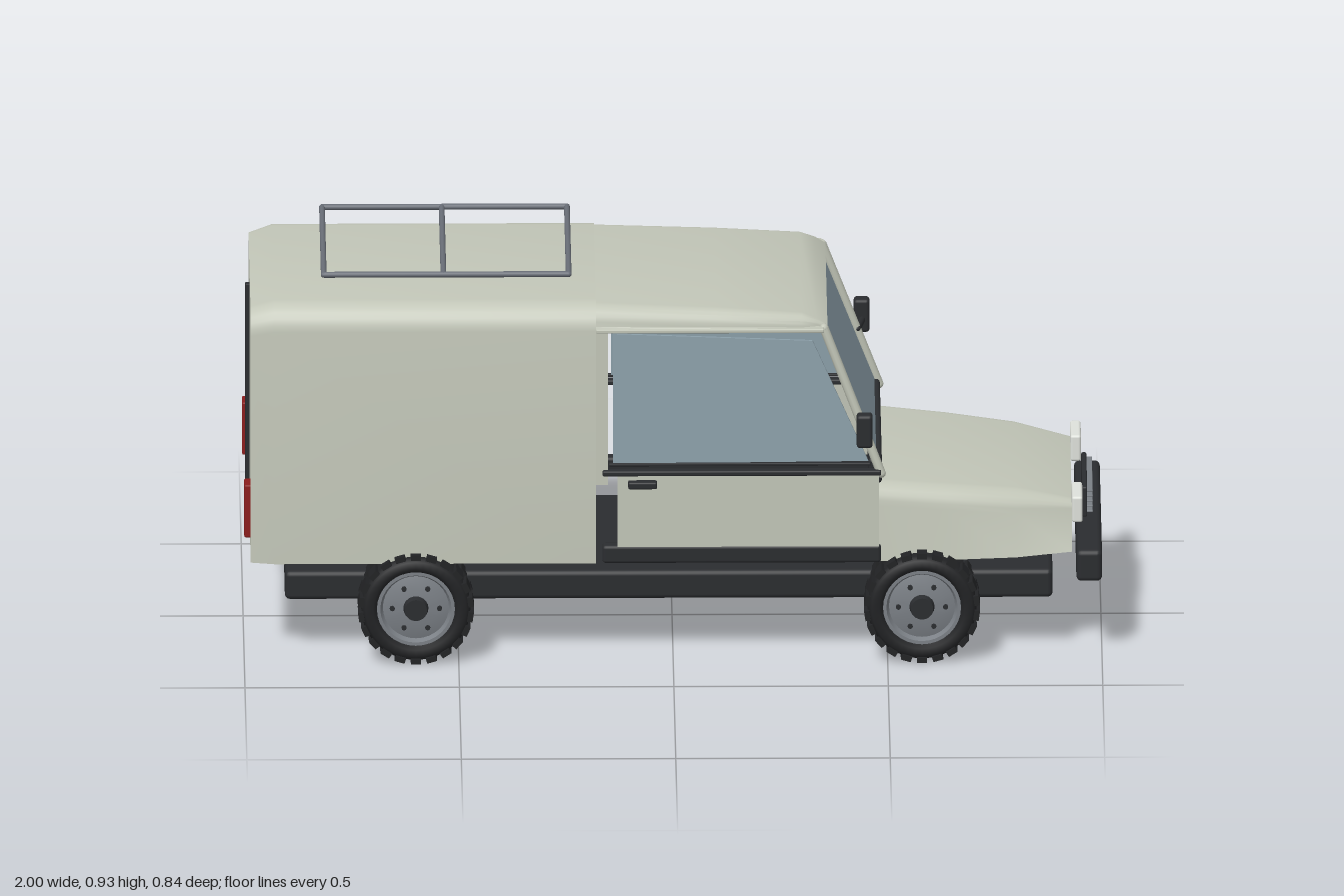
import * as THREE from 'three';
import { toCreasedNormals } from 'three/addons/utils/BufferGeometryUtils.js';
import { RoundedBoxGeometry } from 'three/addons/geometries/RoundedBoxGeometry.js';

const mat = (color, side = THREE.FrontSide) => new THREE.MeshStandardMaterial({ color, side });
const paint = mat(0xc2c6b8), black = mat(0x2b2d30), rubber = mat(0x222325), rimGrey = mat(0x7b8086);
const rackGrey = mat(0x6a6f78), lamp = mat(0xdfe2dc), red = mat(0x8c1d1d), glass = mat(0x8da1ab, THREE.DoubleSide);

function add(parent, name, geo, material, x = 0, y = 0, z = 0) {
  const m = new THREE.Mesh(geo, material);
  m.name = name;
  m.position.set(x, y, z);
  parent.add(m);
  return m;
}

// Rounded box given by its limits on each axis
function block(parent, name, [x0, x1], [y0, y1], [z0, z1], material, r = 0.004) {
  const geo = new RoundedBoxGeometry(x1 - x0, y1 - y0, z1 - z0, 2, r);
  return add(parent, name, geo, material, (x0 + x1) / 2, (y0 + y1) / 2, (z0 + z1) / 2);
}

// Round bar between two points
function bar(parent, name, a, b, r, material) {
  const curve = new THREE.LineCurve3(new THREE.Vector3(...a), new THREE.Vector3(...b));
  const g = add(parent, name, new THREE.TubeGeometry(curve, 1, r, 10), material);
  for (const p of [a, b]) add(parent, name + 'End', new THREE.SphereGeometry(r, 10, 6), material, ...p);
  return g;
}

// Body shell along x; section = [x, bottom y, top y, bottom half width, top half width, corner radius]
function loft(sections, steps = 6) {
  const rings = sections.map(([x, y0, y1, wb, wt, r]) => {
    const half = [[wb, y0]];
    for (let i = 0; i <= steps; i++) {
      const a = (i / steps) * Math.PI / 2;
      half.push([wt - r + r * Math.cos(a), y1 - r + r * Math.sin(a)]);
    }
    const mirrored = half.slice().reverse().map(([z, y]) => [-z, y]);
    return [...half, ...mirrored].map(([z, y]) => [x, y, z]);
  });
  const out = [], n = rings[0].length;
  const tri = (a, b, c) => out.push(...a, ...b, ...c);
  for (let i = 0; i < rings.length - 1; i++) {
    for (let j = 0; j < n; j++) {
      const k = (j + 1) % n, p = rings[i], q = rings[i + 1];
      tri(p[j], q[j], p[k]);
      tri(q[j], q[k], p[k]);
    }
  }
  const back = rings[0], front = rings[rings.length - 1];
  for (let j = 1; j < n - 1; j++) {
    tri(back[0], back[j], back[j + 1]);
    tri(front[0], front[j + 1], front[j]);
  }
  const geo = new THREE.BufferGeometry();
  geo.setAttribute('position', new THREE.Float32BufferAttribute(out, 3));
  return toCreasedNormals(geo, 0.45);
}

// Thin panel drawn in side view, leaning inward above the height y = lean
function sidePanel(points, depth, z, lean = 0, base = 0.3) {
  const shape = new THREE.Shape(points.map(p => new THREE.Vector2(...p)));
  const geo = new THREE.ExtrudeGeometry(shape, { depth, bevelEnabled: false });
  const pos = geo.attributes.position;
  for (let i = 0; i < pos.count; i++) {
    pos.setZ(i, pos.getZ(i) + z - lean * (pos.getY(i) - base));
  }
  geo.computeVertexNormals();
  return geo;
}

function makeWheel() {
  const wheel = new THREE.Group();
  wheel.name = 'wheel';
  const profile = [[0.09, -0.045], [0.1, -0.053], [0.117, -0.052], [0.127, -0.042], [0.129, 0],
    [0.127, 0.042], [0.117, 0.052], [0.1, 0.053], [0.09, 0.045], [0.086, 0.03]];
  const tyre = new THREE.LatheGeometry(profile.map(p => new THREE.Vector2(...p)), 40);
  add(wheel, 'tyre', tyre.rotateX(Math.PI / 2), rubber);
  // Staggered tread blocks
  const count = 22;
  for (let i = 0; i < count * 2; i++) {
    const a = (i / (count * 2)) * Math.PI * 2, side = i % 2 ? 1 : -1;
    const lug = add(wheel, 'treadBlock', new THREE.BoxGeometry(0.013, 0.024, 0.05), rubber,
      Math.cos(a) * 0.1285, Math.sin(a) * 0.1285, side * 0.028);
    lug.rotation.z = a;
  }
  // Dished rim, hub and bolts
  const dish = [[0.089, -0.04], [0.091, 0.046], [0.083, 0.046], [0.077, 0.033], [0.05, 0.04], [0, 0.04]];
  const rim = new THREE.LatheGeometry(dish.map(p => new THREE.Vector2(...p)), 32).rotateX(Math.PI / 2);
  add(wheel, 'rim', toCreasedNormals(rim, 0.4), rimGrey);
  add(wheel, 'innerDisc', new THREE.CylinderGeometry(0.092, 0.092, 0.01, 32).rotateX(Math.PI / 2), black, 0, 0, -0.04);
  add(wheel, 'hub', new THREE.CylinderGeometry(0.026, 0.03, 0.02, 20).rotateX(Math.PI / 2), black, 0, 0, 0.047);
  for (let i = 0; i < 6; i++) {
    const a = (i / 6) * Math.PI * 2;
    add(wheel, 'bolt', new THREE.CylinderGeometry(0.006, 0.006, 0.008, 8).rotateX(Math.PI / 2), black,
      Math.cos(a) * 0.055, Math.sin(a) * 0.055, 0.041);
  }
  return wheel;
}

export function createModel() {
  const model = new THREE.Group();
  model.name = 'utilityVan';

  // Main shells
  add(model, 'cargoBox', loft([
    [-0.985, 0.25, 0.862, 0.316, 0.306, 0.055], [-0.93, 0.25, 0.88, 0.328, 0.318, 0.06],
    [-0.18, 0.25, 0.88, 0.328, 0.318, 0.06]]), paint);
  add(model, 'cabRoof', loft([
    [-0.18, 0.82, 0.874, 0.315, 0.312, 0.045], [0.1, 0.82, 0.864, 0.315, 0.31, 0.038],
    [0.3, 0.82, 0.852, 0.312, 0.305, 0.028], [0.335, 0.82, 0.84, 0.306, 0.296, 0.016],
    [0.36, 0.818, 0.824, 0.298, 0.288, 0.004]]), paint);
  add(model, 'hood', loft([
    [0.48, 0.25, 0.43, 0.318, 0.3, 0.05], [0.64, 0.25, 0.416, 0.312, 0.29, 0.05],
    [0.8, 0.253, 0.399, 0.304, 0.272, 0.05], [0.93, 0.26, 0.368, 0.285, 0.235, 0.025]]), paint);
  block(model, 'chassis', [-0.905, 0.885], [0.14, 0.21], [-0.27, 0.27], black, 0.012);

  // Nose
  block(model, 'frontBumper', [0.94, 1], [0.197, 0.274], [-0.32, 0.32], black, 0.012);
  block(model, 'grille', [0.955, 0.967], [0.288, 0.362], [-0.123, 0.123], black);
  for (let i = 0; i < 5; i++) {
    const y = 0.3 + i * 0.0125;
    block(model, 'grilleSlat', [0.964, 0.98], [y - 0.002, y + 0.002], [-0.118, 0.118], rimGrey, 0.001);
  }

  // Windscreen and the dark cowl below it
  const screen = new THREE.Shape([[-0.28, 0], [0.28, 0], [0.272, 0.335], [-0.272, 0.335]]
    .map(p => new THREE.Vector2(...p)));
  const windscreen = add(model, 'windscreen', new THREE.ShapeGeometry(screen), glass, 0.476, 0.485, 0);
  windscreen.rotation.order = 'YXZ';
  windscreen.rotation.set(-0.37, Math.PI / 2, 0);
  block(model, 'cowl', [0.455, 0.487], [0.428, 0.49], [-0.28, 0.28], black, 0.008);

  // Parts repeated on both sides
  for (const s of [1, -1]) {
    const side = new THREE.Group();
    side.name = s > 0 ? 'leftSide' : 'rightSide';
    model.add(side);
    const range = (a, b) => (s > 0 ? [a, b] : [-b, -a]);
    const panel = (name, pts, depth, z, lean, material) =>
      add(side, name, sidePanel(pts, depth, s > 0 ? z : -z - depth, s * lean), material);

    panel('door', [[-0.13, 0.285], [0.48, 0.285], [0.48, 0.465], [-0.13, 0.465]], 0.016, 0.306, 0.01, paint);
    panel('doorWindow', [[-0.14, 0.49], [0.455, 0.495], [0.325, 0.79], [-0.14, 0.808]], 0.006, 0.309, 0.025, glass);
    block(side, 'sill', [-0.165, 0.485], [0.247, 0.291], range(0.29, 0.324), black, 0.008);
    block(side, 'beltStrip', [-0.165, 0.485], [0.464, 0.477], range(0.305, 0.328), black);
    block(side, 'windowSeal', [-0.15, 0.46], [0.485, 0.492], range(0.304, 0.316), black, 0.002);
    block(side, 'roofGutter', [-0.18, 0.352], [0.814, 0.824], range(0.297, 0.318), paint, 0.003);
    panel('rearPillar', [[-0.184, 0.44], [-0.152, 0.44], [-0.152, 0.822], [-0.184, 0.822]], 0.02, 0.3, 0.015, paint);
    bar(side, 'windscreenPillar', [0.352, 0.818, s * 0.293], [0.485, 0.465, s * 0.311], 0.011, paint);
    block(side, 'doorHandle', [-0.105, -0.038], [0.436, 0.453], range(0.318, 0.34), black);
    block(side, 'headlight', [0.93, 0.955], [0.325, 0.389], range(0.158, 0.268), lamp, 0.006);
    block(side, 'tailLight', [-1, -0.98], [0.31, 0.44], range(0.262, 0.312), red);
    bar(side, 'mirrorArm', [0.435, 0.606, s * 0.3], [0.447, 0.596, s * 0.392], 0.008, black);
    block(side, 'mirrorHead', [0.427, 0.464], [0.564, 0.645], range(0.386, 0.421), black, 0.008);

    for (const [x, name] of [[-0.6, 'rearWheel'], [0.58, 'frontWheel']]) {
      const wheel = makeWheel();
      wheel.name = name;
      wheel.position.set(x, 0.141, s * 0.29);
      wheel.rotation.y = s > 0 ? 0 : Math.PI;
      side.add(wheel);
    }
  }

  // Rear door seam
  block(model, 'rearDoorSeam', [-0.995, -0.98], [0.33, 0.83], [-0.008, 0.008], black, 0.002);

  // Roof rack
  const rack = new THREE.Group();
  rack.name = 'roofRack';
  model.add(rack);
  for (const z of [-0.235, 0.235]) bar(rack, 'rackRail', [-0.814, 0.933, z], [-0.243, 0.933, z], 0.007, rackGrey);
  for (const x of [-0.814, -0.535, -0.243]) bar(rack, 'rackBar', [x, 0.933, -0.235], [x, 0.933, 0.235], 0.007, rackGrey);

  return model;
}
